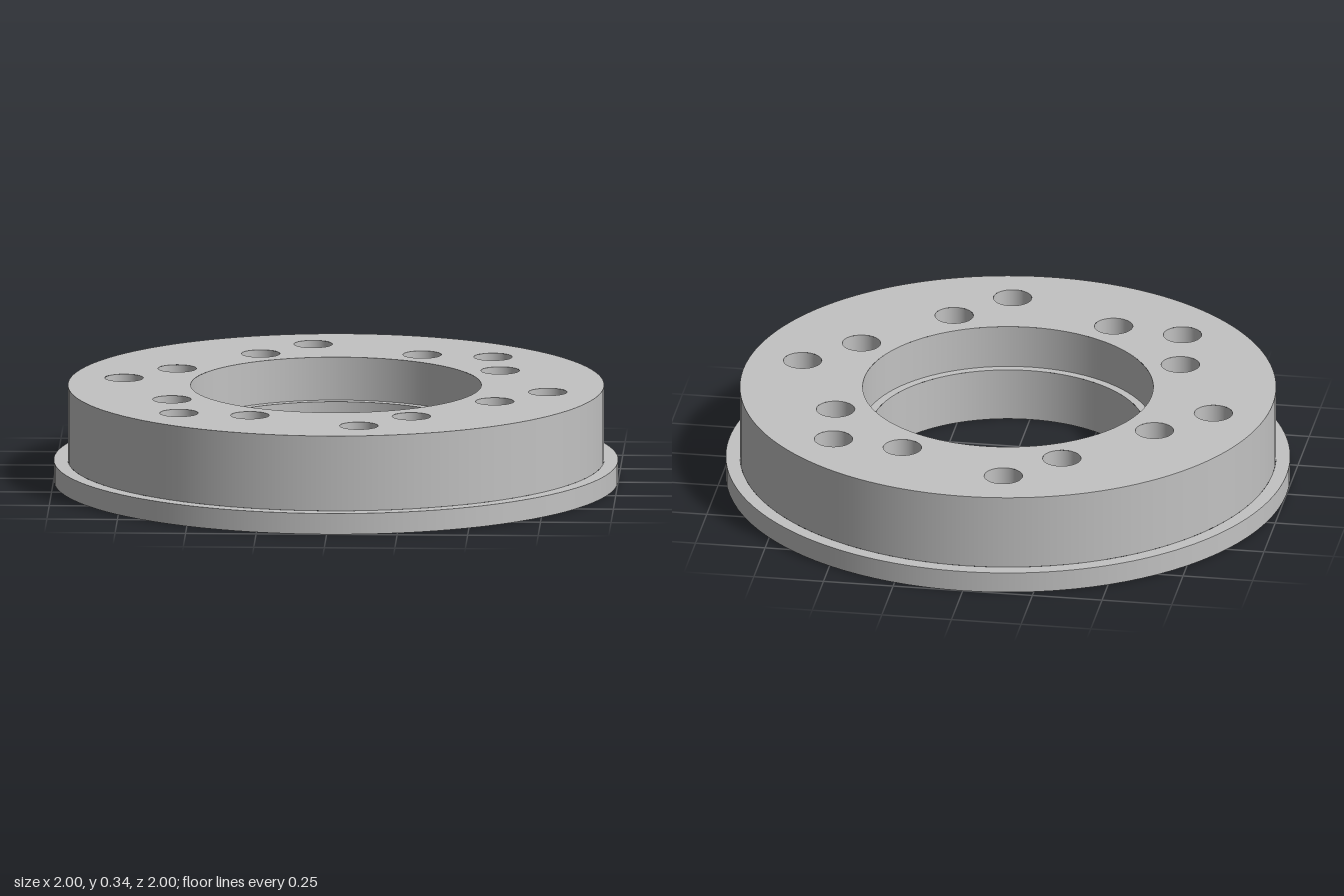
import * as THREE from 'three';

const SEG = 96, HOLE_SEG = 40;
const FLANGE_R = 1, BODY_R = 0.95, BORE_R = 0.485, COUNTERBORE_R = 0.515;
const FLANGE_TOP = 0.075, LEDGE_Y = 0.19, TOP_Y = 0.345;
const HOLE_R = 0.068, RECESS_R = 0.116, RECESS_Y = 0.19;

// centres on a bolt circle, from angles in degrees
const ring = (radius, angles) => angles.map((a) => {
  const t = THREE.MathUtils.degToRad(a);
  return { x: radius * Math.cos(t), z: radius * Math.sin(t) };
});
const innerHoles = ring(0.64, [26.57, 63.43, 116.57, 153.43, 206.57, 243.43, 296.57, 333.43]);
const outerHoles = ring(0.762, [8, 82, 135, 188, 262, 315]);
const centre = { x: 0, z: 0 };

export function createModel() {
  const group = new THREE.Group();
  const metal = new THREE.MeshStandardMaterial({ color: 0xc2c2c2 });
  metal.name = 'grey metal';

  function add(name, geometry) {
    const mesh = new THREE.Mesh(geometry, metal);
    mesh.name = name;
    group.add(mesh);
  }

  // open cylinder wall; inward walls are mirrored and their normals reversed
  function wall(name, r, y0, y1, { x, z } = centre, inward = false) {
    const seg = r < 0.2 ? HOLE_SEG : SEG;
    const g = new THREE.CylinderGeometry(r, r, y1 - y0, seg, 1, true);
    if (inward) {
      g.scale(-1, 1, 1);
      const n = g.attributes.normal;
      for (let i = 0; i < n.count; i++) n.setXYZ(i, -n.getX(i), -n.getY(i), -n.getZ(i));
    }
    g.translate(x, (y0 + y1) / 2, z);
    add(name, g);
  }

  // flat disc with circular holes, facing up or down
  function face(name, r, holes, y, up = true, { x, z } = centre) {
    const s = up ? -1 : 1;
    const circle = (path, c, radius) =>
      path.absarc(c.x, s * c.z, radius, 0, Math.PI * 2, false);
    const shape = circle(new THREE.Shape(), { x, z }, r);
    holes.forEach((h) => shape.holes.push(circle(new THREE.Path(), h, h.r)));
    const g = new THREE.ShapeGeometry(shape, r < 0.2 ? HOLE_SEG : SEG);
    g.rotateX(s * Math.PI / 2);
    g.translate(0, y, 0);
    add(name, g);
  }
  const sized = (list, r) => list.map((c) => ({ ...c, r }));

  // flange and raised body
  wall('flangeRim', FLANGE_R, 0, FLANGE_TOP);
  face('flangeTop', FLANGE_R, [{ ...centre, r: BODY_R }], FLANGE_TOP);
  wall('bodyRim', BODY_R, FLANGE_TOP, TOP_Y);

  // drilled top and bottom faces
  face('topFace', BODY_R, [{ ...centre, r: COUNTERBORE_R },
    ...sized(innerHoles, HOLE_R), ...sized(outerHoles, HOLE_R)], TOP_Y);
  face('bottomFace', FLANGE_R, [{ ...centre, r: BORE_R },
    ...sized(innerHoles, HOLE_R), ...sized(outerHoles, RECESS_R)], 0, false);

  // stepped centre bore
  wall('lowerBore', BORE_R, 0, LEDGE_Y, centre, true);
  face('boreLedge', COUNTERBORE_R, [{ ...centre, r: BORE_R }], LEDGE_Y);
  wall('upperBore', COUNTERBORE_R, LEDGE_Y, TOP_Y, centre, true);

  // straight through holes
  innerHoles.forEach((c) => wall('throughHole', HOLE_R, 0, TOP_Y, c, true));

  // bolt holes with wide recesses underneath
  outerHoles.forEach((c) => {
    wall('boltRecess', RECESS_R, 0, RECESS_Y, c, true);
    face('boltSeat', RECESS_R, [{ ...c, r: HOLE_R }], RECESS_Y, false, c);
    wall('boltHole', HOLE_R, RECESS_Y, TOP_Y, c, true);
  });

  return group;
}
